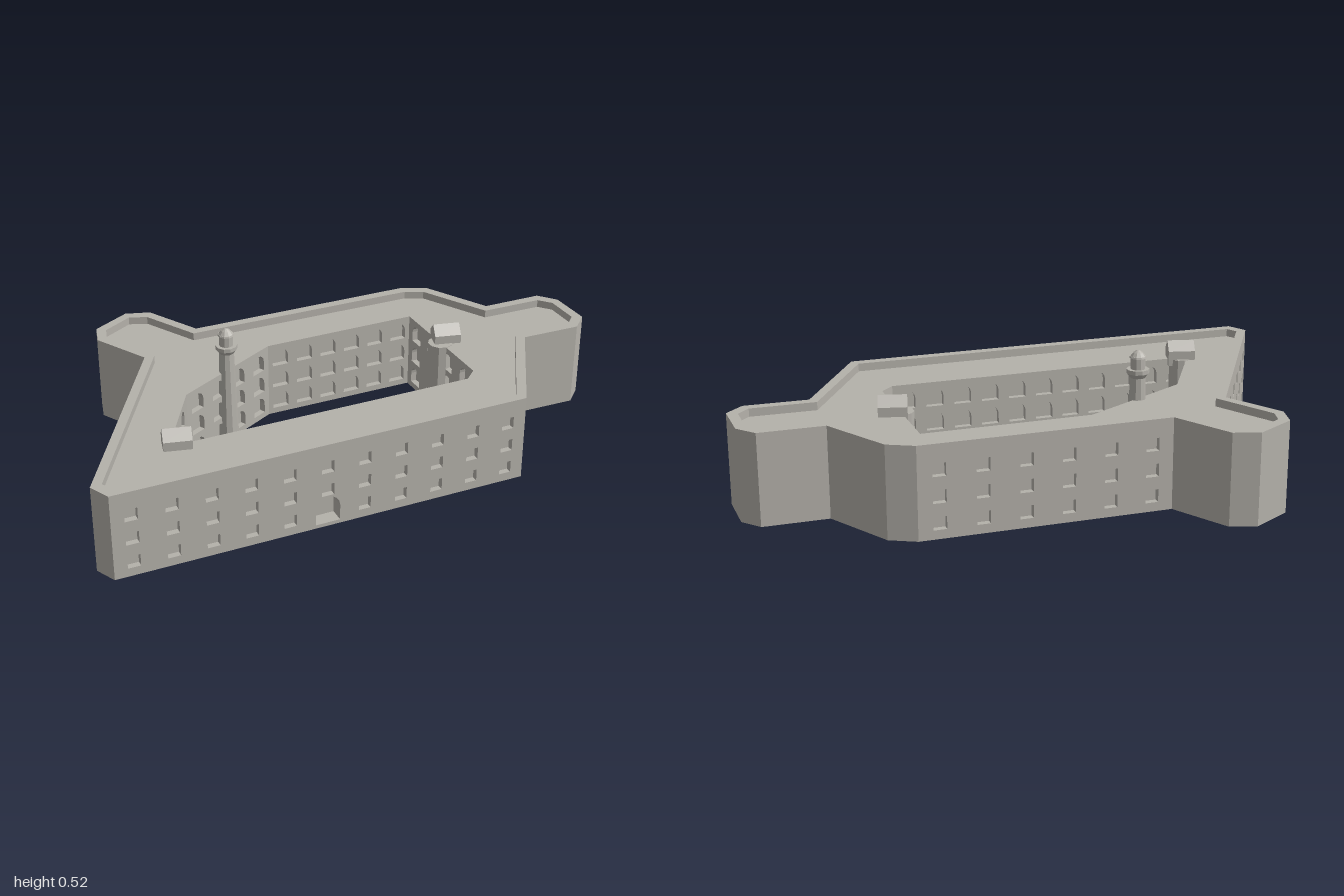
import * as THREE from 'three';
import { mergeGeometries } from 'three/addons/utils/BufferGeometryUtils.js';

const TOP = 0.357, DECK = 0.325, ROWS = [0.06, 0.16, 0.26];
const stone = new THREE.MeshStandardMaterial({ color: 0xb4b1aa });
stone.name = 'stone';

// Plan outlines as [x, z], walked so that each wall faces out of the stone
const OUTER = [
  [-0.59, 0.925], [0.805, -0.015], [0.77, -0.525], [0.98, -0.66], [1, -0.755], [0.89, -0.905],
  [0.8, -0.93], [0.59, -0.79], [0.32, -0.925], [0.21, -0.91], [-0.59, -0.375], [-0.82, -0.49],
  [-0.92, -0.46], [-1, -0.3], [-0.965, -0.205], [-0.735, -0.09], [-0.67, 0.88]];
const INSET = [
  [-0.59, 0.875], [0.765, -0.037], [0.73, -0.545], [0.943, -0.683], [0.955, -0.748], [0.87, -0.868],
  [0.805, -0.885], [0.59, -0.745], [0.308, -0.885], [0.228, -0.872], [-0.59, -0.33], [-0.82, -0.445],
  [-0.895, -0.427], [-0.957, -0.298], [-0.935, -0.235], [-0.7, -0.113], [-0.635, 0.85]];
const COURT = [
  [0.565, -0.19], [-0.48, 0.515], [-0.51, 0.125], [-0.275, -0.33], [0.27, -0.7], [0.58, -0.26]];
const OUTER_COLUMNS = { 0: 11, 1: 3, 9: 6, 15: 6 };
const COURT_COLUMNS = { 0: 11, 1: 2, 2: 4, 3: 6, 4: 4 };

const vectors = (points) => points.map(([x, y]) => new THREE.Vector2(x, y));

function flat(geometry) {
  const g = geometry.index ? geometry.toNonIndexed() : geometry;
  g.deleteAttribute('uv');
  g.computeVertexNormals();
  return g;
}

function add(group, geometry, name) {
  const mesh = new THREE.Mesh(flat(geometry), stone);
  mesh.name = name;
  group.add(mesh);
  return mesh;
}

// Opening outlines, counter-clockwise in wall coordinates
function squareOpening(u, y, w, h) {
  return [[u - w / 2, y], [u + w / 2, y], [u + w / 2, y + h], [u - w / 2, y + h]];
}
function archOpening(u, y, w, h) {
  const r = w / 2, points = [[u - r, y], [u + r, y]];
  for (let i = 0; i <= 8; i++) {
    const a = Math.PI * i / 8;
    points.push([u + r * Math.cos(a), y + h - r + r * Math.sin(a)]);
  }
  return points;
}

// Wall from a to b with recessed openings
function wall(a, b, y0, y1, openings = []) {
  const u = new THREE.Vector3(b[0] - a[0], 0, b[1] - a[1]);
  const length = u.length();
  u.normalize();
  const up = new THREE.Vector3(0, 1, 0), out = u.clone().cross(up);
  const face = new THREE.Shape(vectors([[0, y0], [length, y0], [length, y1], [0, y1]]));
  const parts = [];
  for (const { points, depth } of openings) {
    face.holes.push(new THREE.Path(vectors(points)));
    parts.push(flat(new THREE.ShapeGeometry(new THREE.Shape(vectors(points))).translate(0, 0, -depth)));
    const reveal = [];
    points.forEach((p, i) => {
      const q = points[(i + 1) % points.length];
      reveal.push(...p, 0, ...q, 0, ...p, -depth, ...q, 0, ...q, -depth, ...p, -depth);
    });
    const ribbon = new THREE.BufferGeometry();
    ribbon.setAttribute('position', new THREE.Float32BufferAttribute(reveal, 3));
    parts.push(flat(ribbon));
  }
  parts.push(flat(new THREE.ShapeGeometry(face)));
  const matrix = new THREE.Matrix4().makeBasis(u, up, out).setPosition(a[0], 0, a[1]);
  return mergeGeometries(parts).applyMatrix4(matrix);
}

// Evenly spaced rows of openings for one wall
function openingGrid(a, b, columns, courtyard, gate) {
  const list = [], length = Math.hypot(b[0] - a[0], b[1] - a[1]);
  for (let c = 0; c < columns; c++) {
    const u = (c + 0.5) * length / columns;
    ROWS.forEach((y, row) => {
      if (gate && row === 0 && c === 5) {
        list.push({ points: archOpening(u, 0.015, 0.1, 0.115), depth: 0.06 });
      } else if (courtyard) {
        list.push({ points: archOpening(u, y - 0.035, 0.07, 0.075), depth: 0.025 });
      } else {
        list.push({ points: squareOpening(u, y - 0.025, 0.05, 0.05), depth: 0.025 });
      }
    });
  }
  return list;
}

// Horizontal slab face with a hole, facing up or down
function floor(outline, hole, y, down) {
  const s = down ? 1 : -1;
  const flip = (points) => vectors(points.map(([x, z]) => [x, s * z]));
  const shape = new THREE.Shape(flip(outline));
  shape.holes.push(new THREE.Path(flip(hole)));
  return new THREE.ShapeGeometry(shape).rotateX(s * Math.PI / 2).translate(0, y, 0);
}

function cylinder(group, name, x, z, y0, y1, r0, r1, sides) {
  const g = new THREE.CylinderGeometry(r1, r0, y1 - y0, sides);
  add(group, g, name).position.set(x, (y0 + y1) / 2, z);
}

export function createModel() {
  const model = new THREE.Group();
  model.name = 'fortress';

  // Walls around the outside and the courtyard
  OUTER.forEach((a, i) => {
    const b = OUTER[(i + 1) % OUTER.length];
    add(model, wall(a, b, 0, TOP, openingGrid(a, b, OUTER_COLUMNS[i] || 0, false, i === 0)), 'outerWall');
  });
  COURT.forEach((a, i) => {
    const b = COURT[(i + 1) % COURT.length];
    add(model, wall(a, b, 0, DECK, openingGrid(a, b, COURT_COLUMNS[i] || 0, true, false)), 'courtyardWall');
  });

  // Parapet, roof deck and underside
  INSET.forEach((a, i) => {
    add(model, wall(INSET[(i + 1) % INSET.length], a, DECK, TOP), 'parapetInside');
  });
  add(model, floor(OUTER, INSET, TOP, false), 'parapetTop');
  add(model, floor(INSET, COURT, DECK, false), 'roofDeck');
  add(model, floor(OUTER, COURT, 0, true), 'underside');

  // Gabled stair huts above the stair turrets
  const gable = new THREE.Shape(vectors([[-0.04, 0.3], [0.04, 0.3], [0.04, 0.362], [0, 0.4], [-0.04, 0.362]]));
  for (const [x, z] of [[0.443, -0.512], [-0.453, 0.498]]) {
    const g = new THREE.ExtrudeGeometry(gable, { depth: 0.11, bevelEnabled: false });
    g.translate(0, 0, -0.055).rotateY(Math.PI / 2 + 0.36);
    add(model, g, 'stairHut').position.set(x, 0, z);
  }
  cylinder(model, 'stairTurret', 0.425, -0.48, 0, DECK + 0.002, 0.052, 0.052, 10);
  cylinder(model, 'stairTurret', -0.455, 0.485, 0, DECK + 0.002, 0.045, 0.045, 10);

  // Lighthouse on the courtyard edge
  const tower = new THREE.Group();
  tower.name = 'lighthouse';
  const stack = [
    ['shaft', 0, 0.41, 0.042, 0.03], ['corbel', 0.41, 0.428, 0.03, 0.043],
    ['gallery', 0.428, 0.444, 0.044, 0.044], ['lantern', 0.444, 0.488, 0.028, 0.028],
    ['lanternEaves', 0.488, 0.494, 0.034, 0.032], ['dome', 0.494, 0.508, 0.03, 0.019],
    ['finial', 0.508, 0.517, 0.019, 0.006]];
  for (const [name, y0, y1, r0, r1] of stack) cylinder(tower, name, -0.395, -0.092, y0, y1, r0, r1, 10);
  model.add(tower);

  return model;
}
